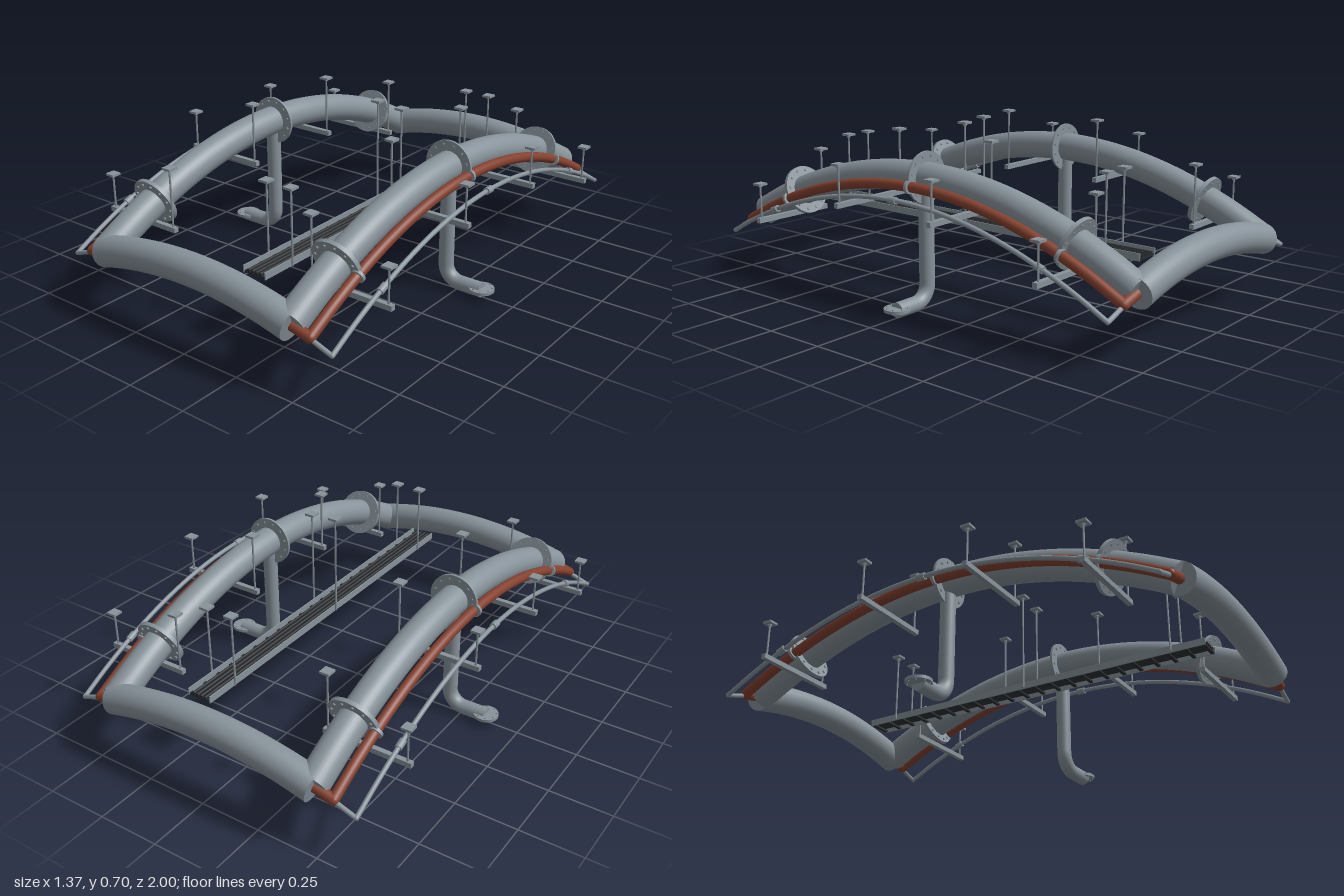
import * as THREE from 'three';

export function createModel() {
  const root = new THREE.Group();
  const steel = new THREE.MeshStandardMaterial({ color: 0x87929a });
  const copper = new THREE.MeshStandardMaterial({ color: 0x85412f });
  const dark = new THREE.MeshStandardMaterial({ color: 0x2b2d30 });
  steel.name = 'steel grey';
  copper.name = 'rust red';
  dark.name = 'cable black';

  const V = (x, y, z) => new THREE.Vector3(x, y, z);
  const add = (parent, name, geo, mat, pos = [0, 0, 0]) => {
    const m = new THREE.Mesh(geo, mat);
    m.name = name;
    m.position.set(...pos);
    parent.add(m);
    return m;
  };
  const box = (p, name, w, h, d, pos, mat = steel) => add(p, name, new THREE.BoxGeometry(w, h, d), mat, pos);

  // Pipe along a curve with closed ends
  const pipe = (parent, name, curve, r, mat, segs = 48, sides = 24) => {
    const g = new THREE.Group();
    g.name = name;
    parent.add(g);
    add(g, name + 'Wall', new THREE.TubeGeometry(curve, segs, r, sides), mat);
    for (const t of [0, 1]) {
      const p = curve.getPointAt(t);
      const dir = curve.getTangentAt(t).multiplyScalar(t ? 1 : -1);
      const cap = add(g, name + 'Cap', new THREE.CircleGeometry(r, sides), mat, p.toArray());
      cap.quaternion.setFromUnitVectors(V(0, 0, 1), dir);
    }
    return g;
  };

  // Height of the arch at z for a given crown height
  const SAG = 0.26, END = 0.94;
  const archY = (top, z) => top - SAG * (z / END) ** 2;
  const tilt = z => Math.atan(2 * SAG * z / END ** 2);
  const arch = (x, top, end = END) => {
    const pts = [];
    for (let i = 0; i <= 16; i++) {
      const z = end * (i / 8 - 1);
      pts.push(V(x, archY(top, z), z));
    }
    return new THREE.CatmullRomCurve3(pts);
  };

  // Bolted flange, axis along local z
  const flange = (parent, name, r, thick, bolts) => {
    const g = new THREE.Group();
    g.name = name;
    parent.add(g);
    add(g, 'flangeDisc', new THREE.CylinderGeometry(r, r, thick, 40).rotateX(Math.PI / 2), steel);
    for (let i = 0; i < bolts; i++) {
      const a = (i + 0.5) / bolts * Math.PI * 2;
      const bolt = new THREE.CylinderGeometry(r * 0.055, r * 0.055, thick + 0.01, 6).rotateX(Math.PI / 2);
      add(g, 'flangeBolt', bolt, steel, [Math.cos(a) * r * 0.83, Math.sin(a) * r * 0.83, 0]);
    }
    return g;
  };

  // Hanger rod with a ceiling plate
  const hanger = (parent, x, z, bottom, top) => {
    add(parent, 'hangerRod', new THREE.CylinderGeometry(0.004, 0.004, top - bottom, 8), steel, [x, (top + bottom) / 2, z]);
    box(parent, 'hangerPlate', 0.04, 0.009, 0.04, [x, top - 0.004, z]);
    add(parent, 'hangerNut', new THREE.CylinderGeometry(0.008, 0.008, 0.008, 6), steel, [x, top - 0.012, z]);
  };

  for (const s of [-1, 1]) {
    const side = new THREE.Group();
    side.name = s > 0 ? 'leftSide' : 'rightSide';
    root.add(side);

    // Main arched pipe and its flanges
    pipe(side, 'mainPipe', arch(s * 0.445, 0.51), 0.059, steel, 48, 32);
    for (const z of [-0.69, 0, 0.69]) {
      const f = flange(side, 'mainFlange', 0.1, z ? 0.016 : 0.01, 12);
      f.position.set(s * 0.442, archY(0.51, z), z);
      f.rotation.x = tilt(z);
      // Collar on the secondary pipe
      const c = add(side, 'secondaryCollar', new THREE.CylinderGeometry(0.026, 0.026, 0.012, 24).rotateX(Math.PI / 2),
        steel, [s * 0.534, archY(0.487, z), z]);
      c.rotation.x = tilt(z);
    }

    // Secondary red pipe with end branches into the corners
    pipe(side, 'secondaryPipe', arch(s * 0.53, 0.487), 0.02, copper, 48, 20);
    // Thin outer line
    pipe(side, 'outerLine', arch(s * 0.62, 0.452), 0.009, steel, 48, 12);
    for (const e of [-1, 1]) {
      const z = e * END;
      pipe(side, 'secondaryBranch', new THREE.LineCurve3(V(s * 0.535, 0.226, z), V(s * 0.43, 0.252, z)), 0.02, copper, 1, 20);
      add(side, 'secondaryElbow', new THREE.SphereGeometry(0.02, 20, 12), copper, [s * 0.53, 0.227, z]);
      pipe(side, 'outerBranch', new THREE.LineCurve3(V(s * 0.62, 0.191, z), V(s * 0.53, 0.222, z)), 0.009, steel, 1, 12);
      add(side, 'outerElbow', new THREE.SphereGeometry(0.0095, 12, 8), steel, [s * 0.62, 0.192, z]);
    }
    for (const z of [-0.67, 0, 0.67]) {
      const sleeve = add(side, 'outerSleeve', new THREE.CylinderGeometry(0.014, 0.014, 0.035, 16).rotateX(Math.PI / 2),
        steel, [s * 0.62, archY(0.452, z), z]);
      sleeve.rotation.x = tilt(z);
    }

    // Drop leg turning outward, with its flat end flange
    const leg = new THREE.CurvePath();
    leg.add(new THREE.LineCurve3(V(s * 0.445, 0.5, 0), V(s * 0.445, 0.1, 0)));
    leg.add(new THREE.CubicBezierCurve3(V(s * 0.445, 0.1, 0), V(s * 0.445, 0.062, 0), V(s * 0.476, 0.031, 0), V(s * 0.514, 0.031, 0)));
    leg.add(new THREE.LineCurve3(V(s * 0.514, 0.031, 0), V(s * 0.612, 0.031, 0)));
    pipe(side, 'dropLeg', leg, 0.03, steel, 60, 24);
    const foot = flange(side, 'legFlange', 0.05, 0.012, 8);
    foot.position.set(s * 0.61, 0.035, 0);
    foot.rotation.x = Math.PI / 2;

    // Cross beams hung on rods
    for (const z of [-0.7, -0.235, 0.235, 0.7]) {
      const outer = Math.abs(z) > 0.5;
      const y = outer ? 0.28 : 0.408;
      box(side, 'supportBeam', 0.36, 0.02, 0.02, [s * 0.505, y, z]);
      hanger(side, s * 0.342, z, y, outer ? 0.532 : 0.662);
      hanger(side, s * 0.667, z, y, outer ? 0.432 : 0.567);
    }
  }

  // Arched end pipes
  for (const e of [-1, 1]) {
    const pts = [];
    for (let i = 0; i <= 12; i++) {
      const x = 0.455 * (i / 6 - 1);
      pts.push(V(x, 0.309 - 0.062 * (x / 0.455) ** 2, e * 0.94));
    }
    pipe(root, e > 0 ? 'frontPipe' : 'backPipe', new THREE.CatmullRomCurve3(pts), 0.06, steel, 32, 32);
  }

  // Cable tray: side rails, rungs, cables and hangers
  const tray = new THREE.Group();
  tray.name = 'cableTray';
  root.add(tray);
  for (const x of [0.113, 0.213]) {
    box(tray, 'trayRail', 0.005, 0.028, 1.6, [x, 0.29, 0]);
    for (const z of [-0.66, 0, 0.66]) hanger(tray, x < 0.2 ? 0.107 : 0.22, z, 0.28, z ? 0.582 : x < 0.2 ? 0.705 : 0.695);
  }
  for (let i = 0; i < 22; i++) box(tray, 'trayRung', 0.1, 0.008, 0.014, [0.163, 0.281, -0.79 + i * 1.58 / 21], dark);
  for (const x of [0.136, 0.154, 0.172, 0.19])
    add(tray, 'cable', new THREE.CylinderGeometry(0.006, 0.006, 1.6, 10).rotateX(Math.PI / 2), dark, [x, 0.291, 0]);

  return root;
}
